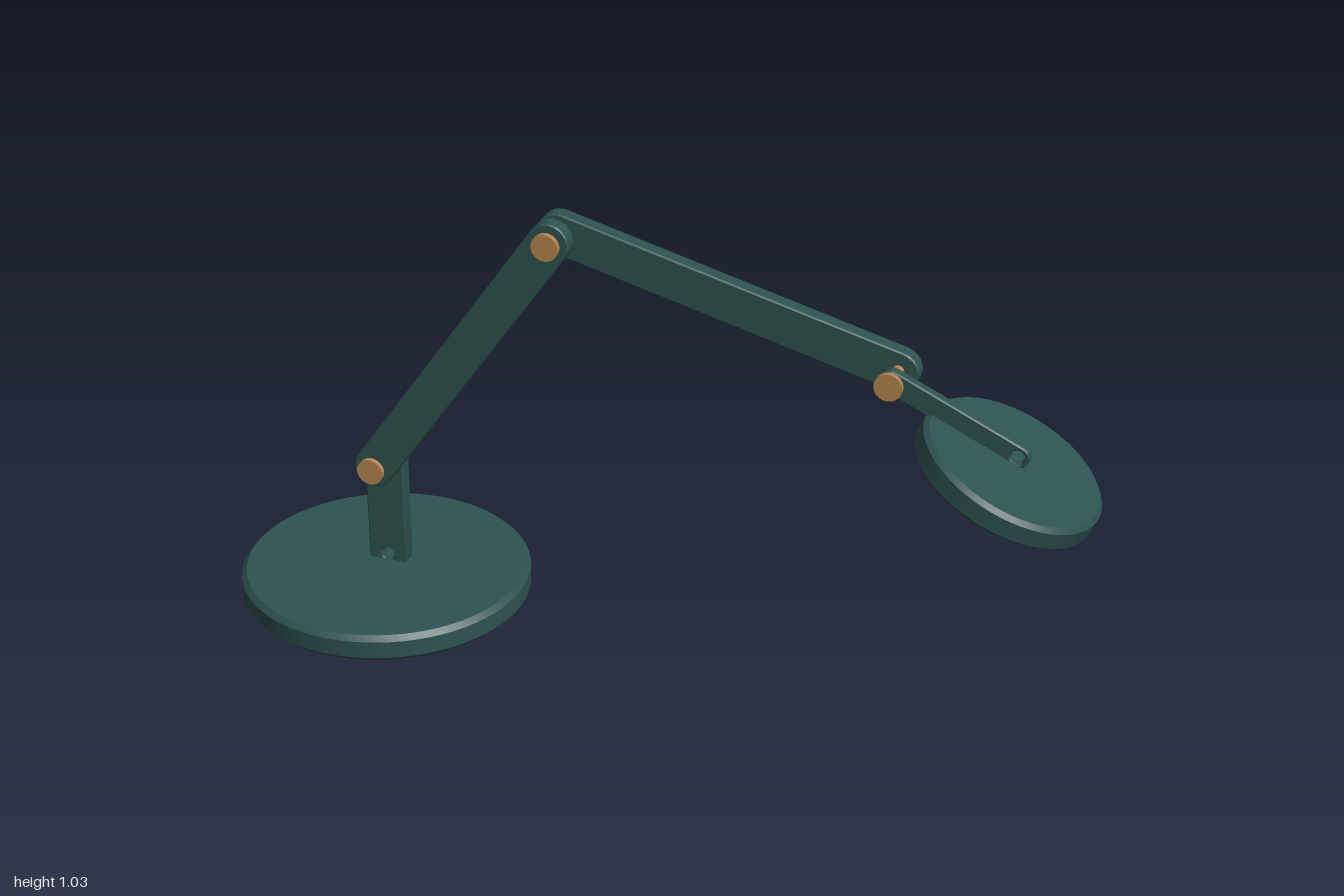
import * as THREE from 'three';
import { toCreasedNormals } from 'three/addons/utils/BufferGeometryUtils.js';

const material = (name, color) => {
  const m = new THREE.MeshStandardMaterial({ color });
  m.name = name;
  return m;
};

export function createModel() {
  const lamp = new THREE.Group();
  lamp.name = 'deskLamp';
  const green = material('deep green', 0x2d5250);
  const brass = material('brass', 0xb5854f);
  const rubber = material('dark rubber', 0x2c2727);
  const glow = material('warm lens', 0xe6d8c0);

  const add = (parent, name, geometry, mat, x = 0, y = 0, z = 0) => {
    const mesh = new THREE.Mesh(geometry, mat);
    mesh.name = name;
    mesh.position.set(x, y, z);
    parent.add(mesh);
    return mesh;
  };

  // Solid disc with chamfered rims, centred on its own middle
  const disc = (r, h, c) => toCreasedNormals(new THREE.LatheGeometry([
    [0, -h / 2], [r - c, -h / 2], [r, -h / 2 + c], [r, h / 2 - c], [r - c, h / 2], [0, h / 2],
  ].map(([x, y]) => new THREE.Vector2(x, y)), 72), 0.5);

  // Flat bar with round ends and a hole at each end, from a to b
  const HOLE = 0.016;
  const link = (name, a, b, half, z, thick) => {
    const dx = b[0] - a[0], dy = b[1] - a[1], len = Math.hypot(dx, dy), bevel = 0.003;
    const shape = new THREE.Shape();
    shape.absarc(0, 0, half, Math.PI / 2, Math.PI * 1.5, false);
    shape.absarc(len, 0, half, -Math.PI / 2, Math.PI / 2, false);
    shape.closePath();
    for (const x of [0, len]) {
      shape.holes.push(new THREE.Path().absarc(x, 0, HOLE, 0, Math.PI * 2, true));
    }
    const geo = new THREE.ExtrudeGeometry(shape, {
      depth: thick - 2 * bevel, bevelThickness: bevel, bevelSize: bevel,
      bevelOffset: -bevel, bevelSegments: 1, curveSegments: 20,
    });
    geo.translate(0, 0, bevel - thick / 2);
    const mesh = add(lamp, name, toCreasedNormals(geo, 0.5), green, a[0], a[1], z);
    mesh.rotation.z = Math.atan2(dy, dx);
  };

  const BASE_X = -0.664;
  const shoulder = [BASE_X, 0.357], elbow = [-0.227, 0.981], wrist = [0.537, 0.776];

  // Base and its three feet
  add(lamp, 'base', disc(0.337, 0.065, 0.012), green, BASE_X, 0.0525, 0);
  for (let i = 0; i < 3; i++) {
    const t = i * Math.PI * 2 / 3;
    add(lamp, 'foot', new THREE.CylinderGeometry(0.038, 0.038, 0.022, 32), rubber,
      BASE_X + 0.222 * Math.cos(t), 0.011, 0.222 * Math.sin(t));
  }

  // Stem and arms, laid side by side in two planes
  link('stem', [BASE_X, 0.1], shoulder, 0.047, -0.0285, 0.037);
  link('lowerArm', shoulder, elbow, 0.047, 0.0285, 0.037);
  link('upperArm', elbow, wrist, 0.047, -0.0285, 0.037);
  link('headArm', wrist, [0.815, 0.646], 0.026, 0.0285, 0.024);

  // Brass pivots: a pin with a cap on each side
  for (const [x, y] of [shoulder, elbow, wrist]) {
    const pivot = new THREE.Group();
    pivot.name = 'pivot';
    pivot.position.set(x, y, 0);
    pivot.rotation.x = Math.PI / 2;
    add(pivot, 'pin', new THREE.CylinderGeometry(0.012, 0.012, 0.12, 24), brass);
    for (const s of [-1, 1]) {
      add(pivot, 'cap', new THREE.CylinderGeometry(0.031, 0.031, 0.012, 32), brass, 0, s * 0.061, 0);
    }
    lamp.add(pivot);
  }

  // Tilted lamp head with the lens underneath
  const head = new THREE.Group();
  head.name = 'head';
  head.position.set(0.796, 0.604, 0.0285);
  head.rotation.z = -0.437;
  add(head, 'shade', disc(0.21, 0.06, 0.01), green);
  add(head, 'lens', new THREE.CylinderGeometry(0.186, 0.186, 0.006, 64), glow, 0, -0.03, 0);
  lamp.add(head);

  return lamp;
}
